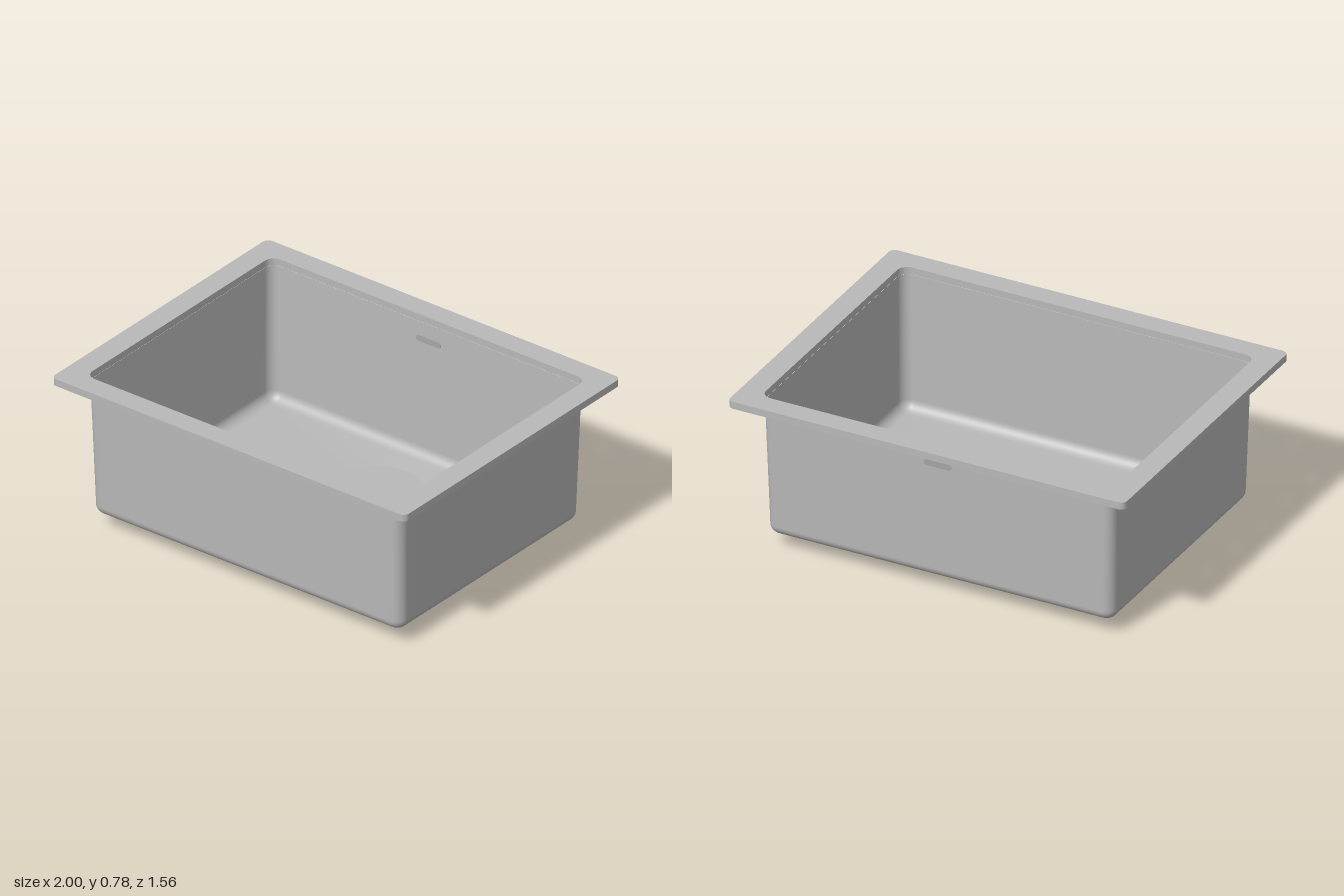
import * as THREE from 'three';

const DRAIN_Z = -0.295;
const DRAIN_R = 0.22;

// Rounded rectangle as a loop of [x, z] points with the edges subdivided
function roundedLoop(hx, hz, r, arc = 8, edge = 16) {
  const corners = [[1, 1], [-1, 1], [-1, -1], [1, -1]];
  const loop = [];
  corners.forEach(([sx, sz], k) => {
    const cx = sx * (hx - r), cz = sz * (hz - r);
    for (let i = 0; i <= arc; i++) {
      const a = (k + i / arc) * Math.PI / 2;
      loop.push([cx + r * Math.cos(a), cz + r * Math.sin(a)]);
    }
    const [nx, nz] = corners[(k + 1) % 4];
    const a = (k + 1) * Math.PI / 2;
    const p = loop[loop.length - 1];
    const q = [nx * (hx - r) + r * Math.cos(a), nz * (hz - r) + r * Math.sin(a)];
    for (let i = 1; i < edge; i++) {
      const t = i / edge;
      loop.push([p[0] + (q[0] - p[0]) * t, p[1] + (q[1] - p[1]) * t]);
    }
  });
  return loop;
}

function toShape(type, hx, hz, r) {
  return new type(roundedLoop(hx, hz, r, 8, 1).map(([x, z]) => new THREE.Vector2(x, z)));
}

// Tapered walls, rounded bottom edge and a floor falling to the drain circle
function bowlGeometry() {
  const rings = [];
  const addRing = (loop, y) => rings.push(loop.map(([x, z]) => [x, y, z]));
  const fillet = 0.05, floorY = 0.07;
  addRing(roundedLoop(0.888, 0.671, 0.05), 0.745);
  for (let i = 0; i <= 8; i++) {
    const a = i / 8 * Math.PI / 2;
    const inset = fillet * (1 - Math.cos(a));
    addRing(roundedLoop(0.872 - inset, 0.655 - inset, 0.055 - inset),
      floorY + fillet * (1 - Math.sin(a)));
  }
  const edge = rings[rings.length - 1];
  for (const t of [0.03, 0.5, 1]) {
    rings.push(edge.map(([x, y, z]) => {
      const d = Math.hypot(x, z - DRAIN_Z);
      const k = 1 - t + t * DRAIN_R / d;
      return [x * k, y - 0.012 * t, DRAIN_Z + (z - DRAIN_Z) * k];
    }));
  }
  const n = edge.length, index = [];
  for (let j = 0; j < rings.length - 1; j++) {
    for (let i = 0; i < n; i++) {
      const a = j * n + i, b = j * n + (i + 1) % n;
      index.push(a, b, a + n, b, b + n, a + n);
    }
  }
  const geo = new THREE.BufferGeometry();
  geo.setAttribute('position', new THREE.Float32BufferAttribute(rings.flat(2), 3));
  geo.setIndex(index);
  geo.computeVertexNormals();
  return geo;
}

export function createModel() {
  const group = new THREE.Group();
  const steel = new THREE.MeshStandardMaterial({ color: 0xb8b8b8, side: THREE.DoubleSide });
  steel.name = 'steel';
  const shade = new THREE.MeshStandardMaterial({ color: 0xa6a6a6 });
  shade.name = 'dull steel';

  const add = (name, geo, x, y, z, mat = steel) => {
    const mesh = new THREE.Mesh(geo, mat);
    mesh.name = name;
    mesh.position.set(x, y, z);
    group.add(mesh);
    return mesh;
  };

  // Flat flange around the opening
  const rim = toShape(THREE.Shape, 1, 0.78, 0.03);
  rim.holes.push(toShape(THREE.Path, 0.889, 0.672, 0.05));
  const rimGeo = new THREE.ExtrudeGeometry(rim, { depth: 0.035, bevelEnabled: false });
  rimGeo.rotateX(-Math.PI / 2);
  add('rim', rimGeo, 0, 0.745, 0);

  add('bowl', bowlGeometry(), 0, 0, 0);

  // Flared outlet under the floor
  const profile = [[0.13, 0], [0.13, 0.03], [0.137, 0.041], [0.152, 0.05], [0.175, 0.055], [DRAIN_R, 0.058]]
    .map(([x, y]) => new THREE.Vector2(x, y));
  add('drainOutlet', new THREE.LatheGeometry(profile, 64), 0, 0, DRAIN_Z);
  add('drainBottom', new THREE.CircleGeometry(0.13, 64).rotateX(Math.PI / 2), 0, 0, DRAIN_Z);

  // Flat cover set into the floor
  add('drainCover', new THREE.CylinderGeometry(0.216, 0.216, 0.006, 64), 0, 0.061, DRAIN_Z);

  // Overflow slot on the back wall
  const slot = add('overflowSlot', new THREE.ExtrudeGeometry(toShape(THREE.Shape, 0.07, 0.015, 0.0149),
    { depth: 0.003, bevelEnabled: false }), 0, 0.66, -0.6695, shade);
  slot.rotation.x = -0.024;

  return group;
}
